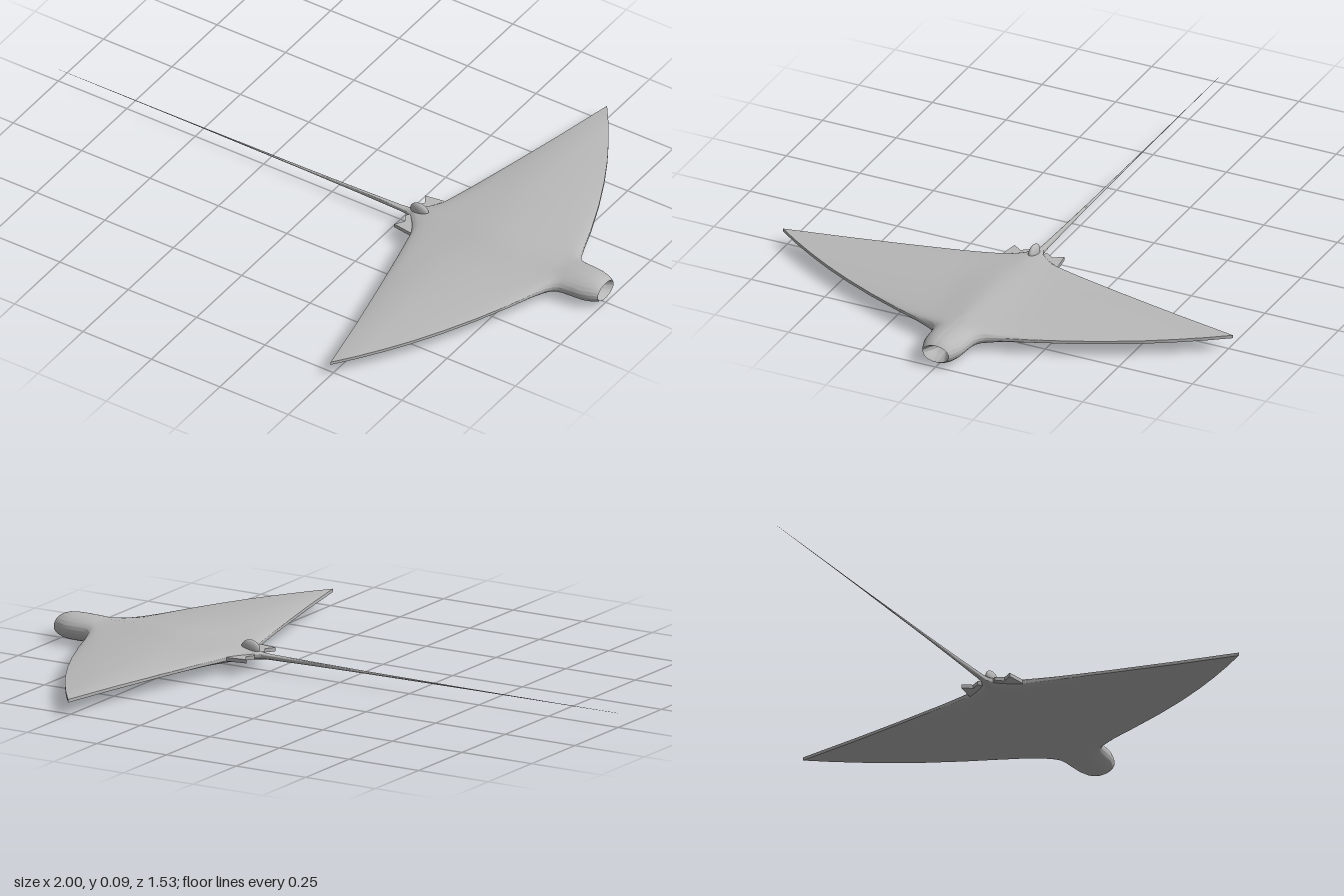
import * as THREE from 'three';
import { toCreasedNormals } from 'three/addons/utils/BufferGeometryUtils.js';

const MID = 0.045; // height of the body's centre plane

// Loft through stations [x, half width, half height, roundness].
// Roundness 1 is an ellipse, 0 a thin wing with a humped back.
function loft(stations, n) {
  const pos = [], index = [];
  const ring = 2 * (n + 1);
  for (const [x, w, h, k] of stations) {
    const edge = Math.min(0.005, h) * (1 - k);
    for (const side of [1, -1]) {
      for (let j = 0; j <= n; j++) {
        const a = Math.PI * j / n;
        const s = Math.cos(a), z = w * s;
        const wing = 0.75 * (1 - Math.abs(s)) + 0.25 * Math.exp(-((z / 0.09) ** 2)) * (1 - s ** 8);
        const f = k * Math.sin(a) + (1 - k) * wing;
        pos.push(x, MID + side * (edge + (h - edge) * f), side * z);
      }
    }
  }
  for (let i = 0; i < stations.length - 1; i++) {
    for (let j = 0; j < ring; j++) {
      const a = i * ring + j, b = i * ring + (j + 1) % ring;
      index.push(a, a + ring, b, b, a + ring, b + ring);
    }
  }
  const g = new THREE.BufferGeometry();
  g.setAttribute('position', new THREE.Float32BufferAttribute(pos, 3));
  g.setIndex(index);
  return toCreasedNormals(g, 0.9);
}

export function createModel() {
  const group = new THREE.Group();
  const skin = new THREE.MeshStandardMaterial({ color: 0xb8b8b8 });
  skin.name = 'grey skin';
  const add = (name, geometry) => {
    const mesh = new THREE.Mesh(geometry, skin);
    mesh.name = name;
    group.add(mesh);
    return mesh;
  };

  // Body with wings and head, from the tail root to the lips
  add('bodyAndWings', loft([
    [0.27, 0.010, 0.010, 1],
    [0.30, 0.022, 0.014, 1],
    [0.33, 0.060, 0.019, 0.8],
    [0.35, 0.095, 0.023, 0.5],
    [0.38, 0.215, 0.027, 0.25],
    [0.42, 0.385, 0.031, 0.1],
    [0.46, 0.565, 0.035, 0],
    [0.50, 0.765, 0.039, 0],
    [0.55, 0.697, 0.043, 0],
    [0.60, 0.622, 0.045, 0],
    [0.65, 0.540, 0.044, 0],
    [0.70, 0.447, 0.042, 0],
    [0.75, 0.342, 0.039, 0.05],
    [0.80, 0.222, 0.037, 0.2],
    [0.825, 0.152, 0.036, 0.4],
    [0.845, 0.100, 0.036, 0.7],
    [0.86, 0.080, 0.037, 0.9],
    [0.88, 0.071, 0.039, 1],
    [0.92, 0.067, 0.041, 1],
    [0.95, 0.064, 0.041, 1],
    [0.975, 0.056, 0.039, 1],
    [0.99, 0.050, 0.034, 1],
    [1.00, 0.044, 0.028, 1],
  ], 64));

  // Mouth hollow, running back into the head
  add('mouth', loft([
    [1.00, 0.044, 0.028, 1],
    [0.993, 0.039, 0.024, 1],
    [0.975, 0.031, 0.019, 1],
    [0.95, 0.018, 0.012, 1],
    [0.94, 0, 0, 1],
  ], 24));

  // Whip tail
  add('tail', loft([
    [-1, 0.0003, 0.0003, 1],
    [-0.5, 0.0015, 0.0015, 1],
    [-0.1, 0.004, 0.004, 1],
    [0.1, 0.0065, 0.0065, 1],
    [0.25, 0.010, 0.009, 1],
    [0.32, 0.016, 0.013, 1],
  ], 8));

  // Small notched fins beside the tail root
  for (const side of [1, -1]) {
    const outline = [[0.38, 0.02], [0.37, 0.085], [0.345, 0.094], [0.283, 0.085],
      [0.303, 0.055], [0.287, 0.03], [0.305, 0.005]];
    const shape = new THREE.Shape(outline.map(([x, z]) => new THREE.Vector2(x, side * z)));
    const g = new THREE.ExtrudeGeometry(shape, { depth: 0.012, bevelEnabled: false });
    g.rotateX(Math.PI / 2).translate(0, MID + 0.006, 0);
    add(side > 0 ? 'rearFinFront' : 'rearFinBack', g);
  }

  // Rounded fin on top of the tail root
  const top = add('topFin', new THREE.SphereGeometry(1, 20, 14));
  top.scale.set(0.033, 0.026, 0.013);
  top.position.set(0.32, 0.064, 0);

  return group;
}
